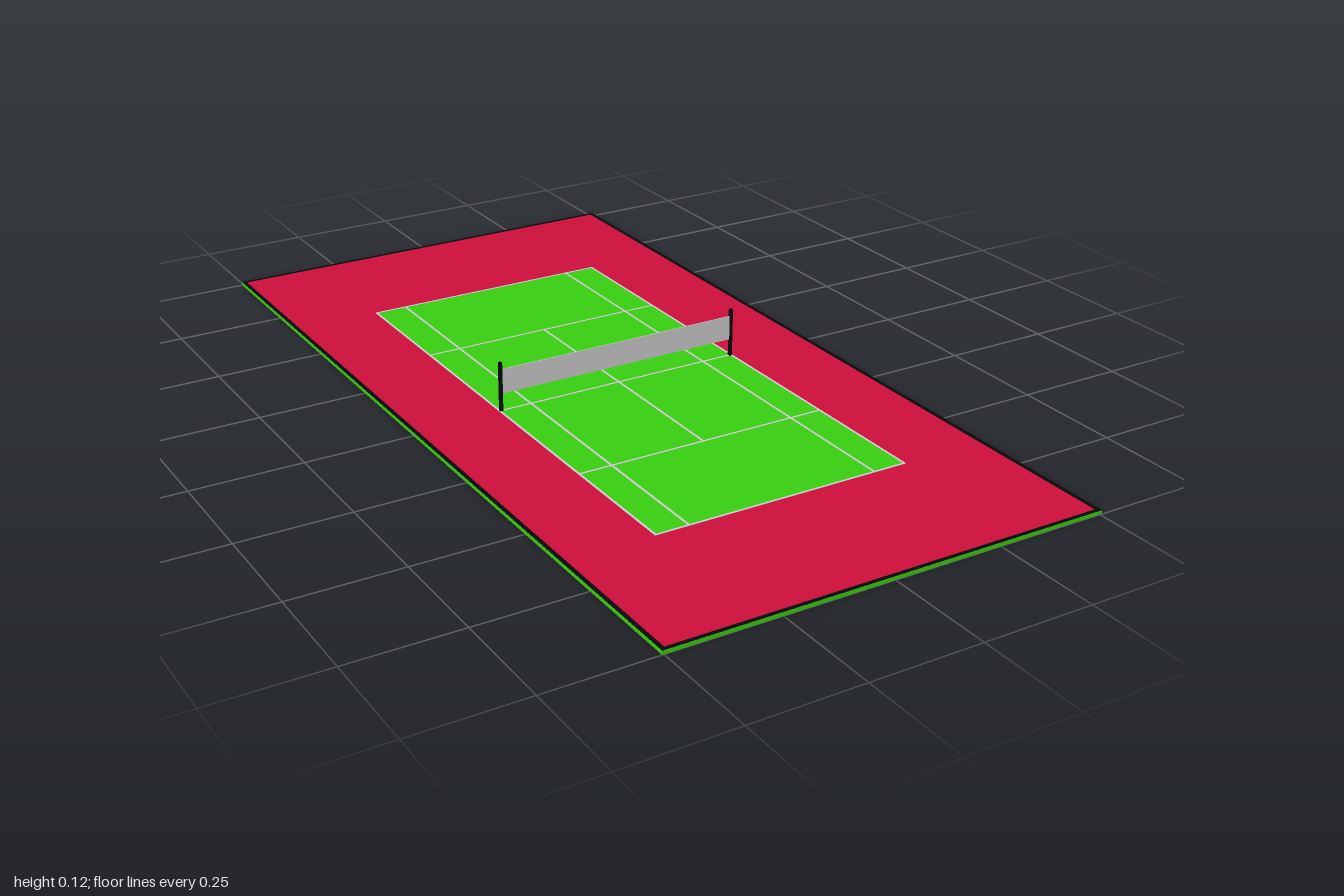
import * as THREE from 'three';

const W = 1.008, L = 2;             // ground slab
const CX = 0.298, CZ = 0.642;       // court half sizes
const SX = 0.222, SZ = 0.347;       // singles and service line offsets
const LINE = 0.005, TOP = 0.008;

const mat = (color) => new THREE.MeshStandardMaterial({ color });
const black = mat(0x080808), white = mat(0xcccccc);

export function createModel() {
  const model = new THREE.Group();

  const box = (name, size, pos, material, parent = model) => {
    const mesh = new THREE.Mesh(new THREE.BoxGeometry(...size), material);
    mesh.name = name;
    mesh.position.set(...pos);
    parent.add(mesh);
    return mesh;
  };

  // Flat rectangle facing up, optionally with a rectangular hole
  const rect = (path, x, z) => path.moveTo(-x, -z).lineTo(x, -z).lineTo(x, z).lineTo(-x, z).closePath();
  const sheet = (name, x, z, y, material, holeX, holeZ) => {
    const shape = rect(new THREE.Shape(), x, z);
    if (holeX) shape.holes.push(rect(new THREE.Path(), holeX, holeZ));
    const mesh = new THREE.Mesh(new THREE.ShapeGeometry(shape).rotateX(-Math.PI / 2), material);
    mesh.name = name;
    mesh.position.y = y;
    model.add(mesh);
  };

  // Ground slab with border, run-off area and playing surface
  box('groundSlab', [W, TOP, L], [0, TOP / 2, 0], mat(0x38cc10));
  sheet('border', W / 2, L / 2, TOP + 0.0006, black, W / 2 - 0.01, L / 2 - 0.01);
  sheet('runOffArea', W / 2 - 0.01, L / 2 - 0.01, TOP + 0.0006, mat(0xcc0e3c), CX, CZ);
  sheet('playingSurface', CX, CZ, TOP + 0.0006, mat(0x38cc10));

  // Painted court lines
  const lines = new THREE.Group();
  lines.name = 'courtLines';
  model.add(lines);
  const paint = (name, x, z, w, l) => box(name, [w, 0.001, l], [x, TOP + 0.0008, z], white, lines);
  for (const s of [-1, 1]) {
    paint('doublesSideline', s * CX, 0, LINE, 2 * CZ + LINE);
    paint('singlesSideline', s * SX, 0, LINE, 2 * CZ);
    paint('baseline', 0, s * CZ, 2 * CX, LINE);
    paint('serviceLine', 0, s * SZ, 2 * CX, LINE);
  }
  paint('centreServiceLine', 0, 0, LINE, 2 * SZ);
  paint('netLine', 0, 0, 2 * CX, LINE);

  // Net hung between two posts
  const net = new THREE.Group();
  net.name = 'net';
  model.add(net);
  box('netPanel', [0.59, 0.057, 0.002], [0, 0.0775, 0], white, net);
  for (const s of [-1, 1]) {
    box('netPost', [0.007, 0.123 - TOP, 0.007], [s * 0.295, (0.123 + TOP) / 2, 0], black, net);
  }

  return model;
}
